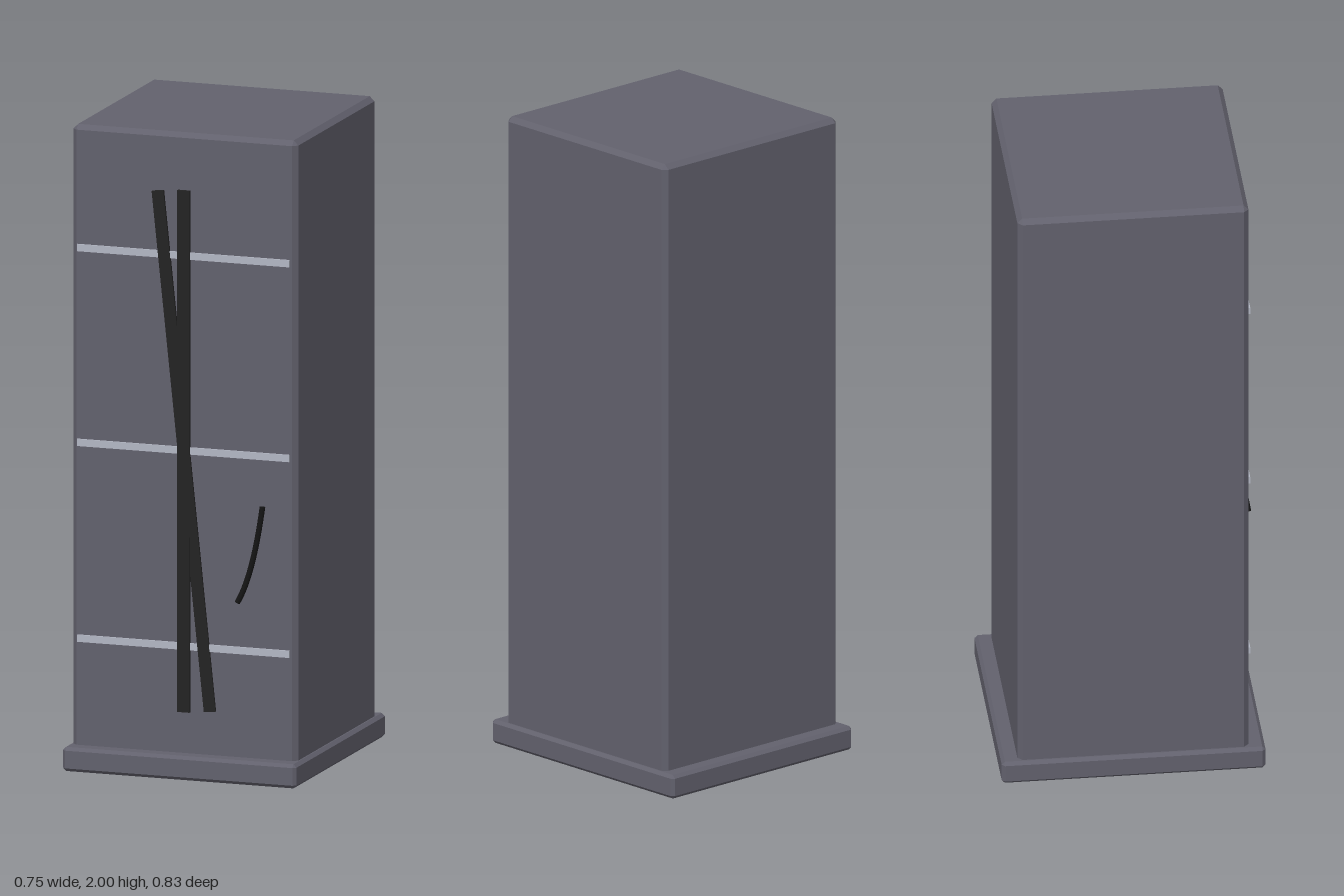
import * as THREE from 'three';
import { ConvexGeometry } from 'three/addons/geometries/ConvexGeometry.js';

const material = (name, color) => {
  const m = new THREE.MeshStandardMaterial({ color });
  m.name = name;
  return m;
};

// Box with all edges cut at 45 degrees, given by its min and max corners
function chamferBox(min, max, c) {
  const size = max.map((v, i) => (v - min[i]) / 2);
  const mid = max.map((v, i) => (v + min[i]) / 2);
  const points = [];
  for (const sx of [-1, 1]) for (const sy of [-1, 1]) for (const sz of [-1, 1]) {
    const s = [sx, sy, sz];
    for (let full = 0; full < 3; full++) {
      points.push(new THREE.Vector3(...s.map((k, i) => mid[i] + k * (size[i] - (i === full ? 0 : c)))));
    }
  }
  return new ConvexGeometry(points);
}

export function createModel() {
  const group = new THREE.Group();
  const grey = material('slate grey', 0x62616d);
  const silver = material('pale silver', 0xb3b7c4);
  const charcoal = material('charcoal', 0x232323);
  const black = material('black', 0x141414);

  const add = (name, geometry, mat) => {
    const mesh = new THREE.Mesh(geometry, mat);
    mesh.name = name;
    group.add(mesh);
    return mesh;
  };

  // Cabinet and plinth
  add('cabinet', chamferBox([-0.363, 0.06, -0.363], [0.363, 2, 0.343], 0.015), grey);
  add('plinth', chamferBox([-0.377, 0, -0.413], [0.377, 0.075, 0.393], 0.01), grey);

  // Horizontal trim strips on the front
  for (const y of [0.407, 1.015, 1.62]) {
    add('trimStrip', new THREE.BoxGeometry(0.686, 0.022, 0.012), silver).position.set(-0.002, y, 0.343);
  }

  // Crossed bars on the front: one upright, one leaning
  add('uprightBar', new THREE.BoxGeometry(0.04, 1.62, 0.014), charcoal).position.set(0, 1.013, 0.346);
  const leaning = add('leaningBar', new THREE.BoxGeometry(0.038, 1.616, 0.014), charcoal);
  leaning.position.set(0, 1.013, 0.343);
  leaning.rotation.set(0.0016, 0, 0.104);

  // Curved door handle
  const curve = new THREE.QuadraticBezierCurve3(
    new THREE.Vector3(0.264, 0.865, 0.375),
    new THREE.Vector3(0.238, 0.65, 0.387),
    new THREE.Vector3(0.193, 0.568, 0.404));
  add('handle', new THREE.TubeGeometry(curve, 12, 0.009, 8), black);
  // Handle end caps
  for (const t of [0, 1]) {
    const cap = add('handleCap', new THREE.CircleGeometry(0.009, 8), black);
    cap.position.copy(curve.getPoint(t));
    cap.lookAt(cap.position.clone().addScaledVector(curve.getTangent(t), t ? 1 : -1));
  }
  return group;
}
